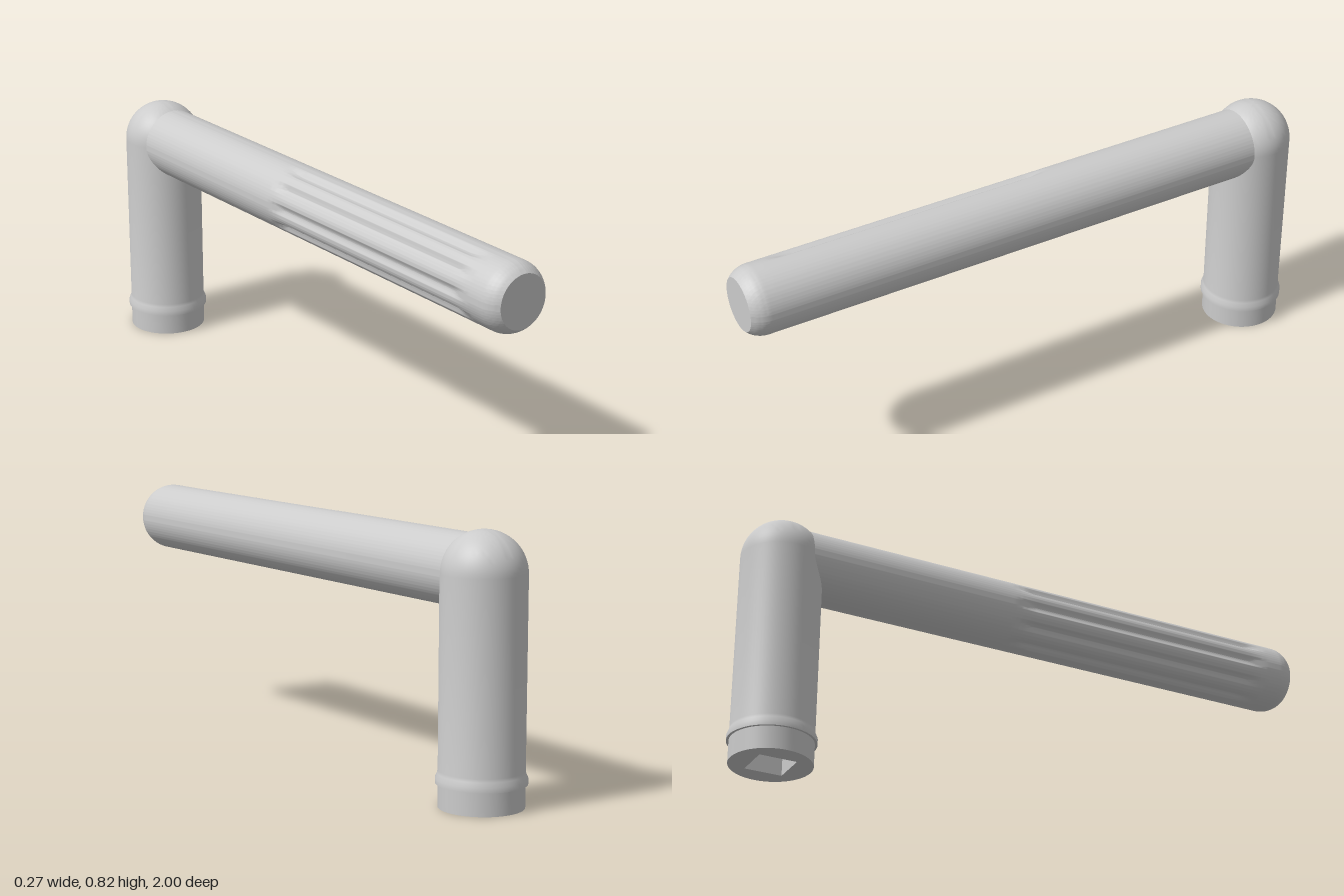
import * as THREE from 'three';
import { toCreasedNormals } from 'three/addons/utils/BufferGeometryUtils.js';

const POST_R = 0.129, POST_Z = -0.863, AXIS_Y = 0.692;
const LEVER_R = 0.112, SOCKET = 0.12, SOCKET_DEPTH = 0.3;

const lathe = (pts, segments) =>
  new THREE.LatheGeometry(pts.map(([r, y]) => new THREE.Vector2(r, y)), segments);

// Upright post: foot, flared collar, shaft and domed top
function postGeometry() {
  const pts = [
    [POST_R, 0], [POST_R, 0.072], [0.137, 0.072], [0.137, 0.088],
    [0.131, 0.102], [POST_R, 0.112], [POST_R, AXIS_Y],
  ];
  for (let i = 1; i <= 16; i++) {
    const t = (i / 16) * Math.PI / 2;
    pts.push([i === 16 ? 0 : POST_R * Math.cos(t), AXIS_Y + POST_R * Math.sin(t)]);
  }
  return toCreasedNormals(lathe(pts, 72), 0.6);
}

// Underside of the foot with a square opening
function footGeometry() {
  const shape = new THREE.Shape().absarc(0, 0, POST_R, 0, Math.PI * 2, false);
  const h = SOCKET / 2;
  shape.holes.push(new THREE.Path([[-h, -h], [-h, h], [h, h], [h, -h]].map(p => new THREE.Vector2(...p))));
  return new THREE.ShapeGeometry(shape, 36).rotateX(Math.PI / 2);
}

// Lever along z, with finger grooves pressed into its -x side
function leverGeometry() {
  const START = -0.1, END = 0.9, FADE = 0.1, DEPTH = 0.012;
  const HALF = THREE.MathUtils.degToRad(13), PITCH = Math.PI / 5;
  const pts = [[LEVER_R, -0.85]];
  const fadeRows = 10;
  for (let i = 0; i <= fadeRows; i++) pts.push([LEVER_R, START + FADE * i / fadeRows]);
  for (let i = 0; i <= fadeRows; i++) pts.push([LEVER_R, END - FADE + FADE * i / fadeRows]);
  // Rounded shoulder, then flat end
  const R = 0.082, sweep = Math.asin(0.06 / R);
  for (let i = 0; i <= 10; i++) {
    const t = sweep * i / 10;
    pts.push([LEVER_R - R * (1 - Math.cos(t)), 0.94 + R * Math.sin(t)]);
  }
  pts.push([0, 1]);
  const geo = lathe(pts, 240).rotateX(Math.PI / 2);

  const pos = geo.attributes.position;
  for (let i = 0; i < pos.count; i++) {
    const x = pos.getX(i), y = pos.getY(i), z = pos.getZ(i);
    if (z <= START || z >= END) continue;
    const angle = Math.atan2(-x, y); // measured from the top towards -x
    let cut = 0;
    for (let k = 0; k < 5; k++) {
      const d = Math.abs(angle - PITCH * (k + 0.5));
      if (d < HALF) cut = DEPTH * Math.cos(d / HALF * Math.PI / 2) ** 2;
    }
    const fade = THREE.MathUtils.smoothstep(Math.min(z - START, END - z), 0, FADE);
    const s = 1 - cut * fade / LEVER_R;
    pos.setXY(i, x * s, y * s);
  }
  return toCreasedNormals(geo, 0.6);
}

export function createModel() {
  const group = new THREE.Group();
  const grey = new THREE.MeshStandardMaterial({ color: 0xcccccc });
  const inner = new THREE.MeshStandardMaterial({ color: 0xcccccc, side: THREE.BackSide, flatShading: true });

  const add = (name, geometry, material, y, z) => {
    const mesh = new THREE.Mesh(geometry, material);
    mesh.name = name;
    mesh.position.set(0, y, z);
    group.add(mesh);
  };

  add('post', postGeometry(), grey, 0, POST_Z);
  add('footUnderside', footGeometry(), grey, 0, POST_Z);

  // Square spindle socket running up into the post
  add('socketWalls',
    new THREE.CylinderGeometry(SOCKET / Math.SQRT2, SOCKET / Math.SQRT2, SOCKET_DEPTH, 4, 1, true, Math.PI / 4),
    inner, SOCKET_DEPTH / 2, POST_Z);
  add('socketEnd', new THREE.PlaneGeometry(SOCKET, SOCKET).rotateX(Math.PI / 2), grey, SOCKET_DEPTH, POST_Z);

  add('lever', leverGeometry(), grey, AXIS_Y, 0);
  return group;
}
